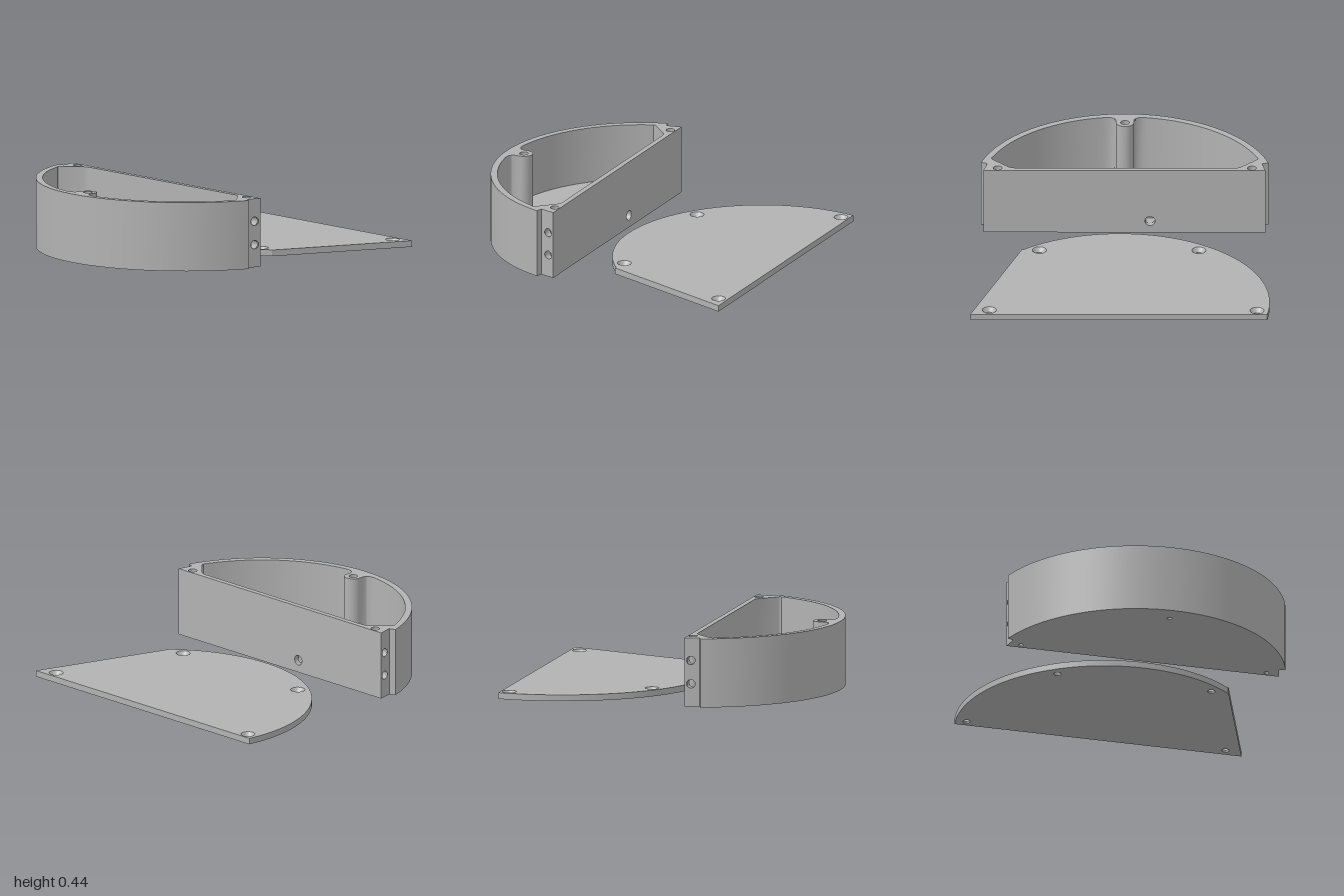
import * as THREE from 'three';
import { toCreasedNormals } from 'three/addons/utils/BufferGeometryUtils.js';

const grey = new THREE.MeshStandardMaterial({ color: 0xb2b2b2, side: THREE.DoubleSide });
grey.name = 'grey plastic';

// Plan points are [x, z].
const arc = (cx, cz, r, a0, a1, n) => Array.from({ length: n + 1 }, (_, i) => {
  const a = THREE.MathUtils.degToRad(a0 + (a1 - a0) * i / n);
  return [cx + r * Math.cos(a), cz + r * Math.sin(a)];
});

const outline = pts => pts.map(p => new THREE.Vector2(p[0], p[1]));
const circle = (x, z, r) => new THREE.Path().absarc(x, z, r, 0, Math.PI * 2);

function add(group, name, geometry) {
  const mesh = new THREE.Mesh(geometry, grey);
  mesh.name = name;
  group.add(mesh);
  return mesh;
}

// Flat horizontal face with holes, facing up or down
function cap(pts, holes, y, up) {
  const shape = new THREE.Shape(outline(pts));
  shape.holes.push(...holes);
  const g = new THREE.ShapeGeometry(shape, 16).rotateX(Math.PI / 2).translate(0, y, 0);
  if (up) {
    g.index.array.reverse();
    g.computeVertexNormals();
  }
  return g;
}

// Vertical strip following a path in plan
function wall(pts, y0, y1) {
  const pos = [], idx = [];
  pts.forEach(([x, z], i) => {
    pos.push(x, y0, z, x, y1, z);
    const k = 2 * i;
    if (i < pts.length - 1) idx.push(k, k + 2, k + 3, k, k + 3, k + 1);
  });
  const g = new THREE.BufferGeometry();
  g.setAttribute('position', new THREE.Float32BufferAttribute(pos, 3));
  g.setIndex(idx);
  return toCreasedNormals(g, 0.5);
}

// Upright flat panel from a to b; holes are [distance along, y, radius]
function panel(a, b, y0, y1, holes) {
  const dx = b[0] - a[0], dz = b[1] - a[1], len = Math.hypot(dx, dz);
  const shape = new THREE.Shape(outline([[0, y0], [len, y0], [len, y1], [0, y1]]));
  holes.forEach(h => shape.holes.push(circle(...h)));
  const m = new THREE.Matrix4().makeBasis(
    new THREE.Vector3(dx / len, 0, dz / len), new THREE.Vector3(0, 1, 0),
    new THREE.Vector3(-dz / len, 0, dx / len)).setPosition(a[0], 0, a[1]);
  return new THREE.ShapeGeometry(shape, 16).applyMatrix4(m);
}

// Open lining of a round hole along y
const lining = (rTop, rBottom, y0, y1) =>
  new THREE.CylinderGeometry(rTop, rBottom, y1 - y0, 32, 1, true).translate(0, (y0 + y1) / 2, 0);

function createCase() {
  const g = new THREE.Group();
  g.name = 'case';
  const H = 0.44, floorY = 0.075, cx = -0.05, cz = -0.03;

  // Outer skin: curved wall with a notch at each end
  const a = [-0.215, -0.92], b = [-0.31, -0.9], c = [-0.31, 0.84], d = [-0.215, 0.865];
  const curved = [b, ...arc(cx, cz, 0.95, 253.2, 106.8, 72), c];
  add(g, 'curvedWall', wall(curved, 0, H));
  add(g, 'backEndFace', panel(a, b, 0, H, [[0.041, 0.145, 0.027], [0.041, 0.295, 0.027]]));
  add(g, 'frontEndFace', panel(c, d, 0, H, [[0.057, 0.145, 0.027], [0.057, 0.295, 0.027]]));
  add(g, 'straightWall', panel(d, a, 0, H, [[0.865 + 0.19, 0.08, 0.032]]));
  const outer = [a, ...curved, d];

  // Cavity with chamfered corners and a rounded post on the curved wall
  const half = [
    [-0.25, 0.69], [-0.253, 0.713], [-0.265, 0.735], [-0.362, 0.832], [-0.374, 0.842],
    [-0.388, 0.844], ...arc(cx, 0, 0.907, 113.4, 172.7, 32),
    [-0.946, 0.085], [-0.934, 0.066], [-0.915, 0.057], ...arc(-0.88, 0, 0.057, 90, 0, 10)];
  const cavity = [
    ...half.map(([x, z]) => [x, cz + z]),
    ...half.slice(0, -1).reverse().map(([x, z]) => [x, cz - z])];
  add(g, 'innerWall', wall(cavity, floorY, H));
  const last = cavity[cavity.length - 1];
  add(g, 'innerStraightWall', panel(last, cavity[0], 0.04, H, [[-0.19 - last[1], 0.08, 0.032]]));

  // Rim, underside and floor
  const screws = [[-0.25, -0.835], [-0.25, 0.775], [-0.88, -0.03]];
  add(g, 'rim', cap(outer, [new THREE.Path(outline(cavity)),
    ...screws.map(([x, z]) => circle(x, z, 0.028))], H, true));
  add(g, 'underside', cap(outer, screws.map(([x, z]) => circle(x, z, 0.016)), 0, false));
  const notch = [[-0.25, -0.256], [-0.325, -0.256], [-0.325, -0.139], [-0.25, -0.139]];
  add(g, 'floor', cap([...cavity, ...notch], [], floorY, true));

  // Cable groove in the floor, leading to the hole in the straight wall
  const profile = [[-0.256, floorY], [-0.23, 0.047], [-0.165, 0.047], [-0.139, floorY]];
  const turn = new THREE.Matrix4().makeBasis(
    new THREE.Vector3(0, 0, 1), new THREE.Vector3(1, 0, 0), new THREE.Vector3(0, 1, 0));
  add(g, 'cableGroove', wall(profile, -0.325, -0.25).applyMatrix4(turn));
  add(g, 'cableGrooveEnd', new THREE.ShapeGeometry(new THREE.Shape(outline(profile)))
    .rotateY(-Math.PI / 2).translate(-0.325, 0, 0));
  add(g, 'cableHole', lining(0.032, 0.032, -0.25, -0.215).rotateZ(-Math.PI / 2))
    .position.set(0, 0.08, -0.19);

  // Stepped screw holes
  for (const [x, z] of screws) {
    add(g, 'screwHole', lining(0.028, 0.028, floorY, H)).position.set(x, 0, z);
    add(g, 'screwHoleStep', new THREE.RingGeometry(0.016, 0.028, 32).rotateX(-Math.PI / 2))
      .position.set(x, floorY, z);
    add(g, 'screwPassage', lining(0.016, 0.016, 0, floorY)).position.set(x, 0, z);
  }

  // Pairs of side holes in the end blocks
  for (const y of [0.145, 0.295]) {
    for (const [z0, z1] of [[0.785, 0.853], [-0.91, -0.845]]) {
      add(g, 'sideHole', lining(0.027, 0.027, z0, z1).rotateX(Math.PI / 2))
        .position.set(-0.255, y, 0);
    }
  }
  return g;
}

function createLid() {
  const g = new THREE.Group();
  g.name = 'lid';
  const T = 0.04, step = 0.012;
  const pts = [...arc(0.83, 0, 0.95, 280.3, 139.7, 80), [0.1, 0.62], [1, 0.945]];
  const screws = [[0.945, -0.87], [0.11, -0.5], [0.11, 0.51], [0.94, 0.825]];
  add(g, 'lidTop', cap(pts, screws.map(([x, z]) => circle(x, z, 0.045)), T, true));
  add(g, 'lidUnderside', cap(pts, screws.map(([x, z]) => circle(x, z, 0.024)), 0, false));
  add(g, 'lidEdge', wall([...pts, pts[0]], 0, T));

  // Countersunk holes
  for (const [x, z] of screws) {
    add(g, 'countersink', lining(0.045, 0.024, step, T)).position.set(x, 0, z);
    add(g, 'lidHole', lining(0.024, 0.024, 0, step)).position.set(x, 0, z);
  }
  return g;
}

export function createModel() {
  const model = new THREE.Group();
  model.name = 'caseWithLid';
  model.add(createCase(), createLid());
  return model;
}
